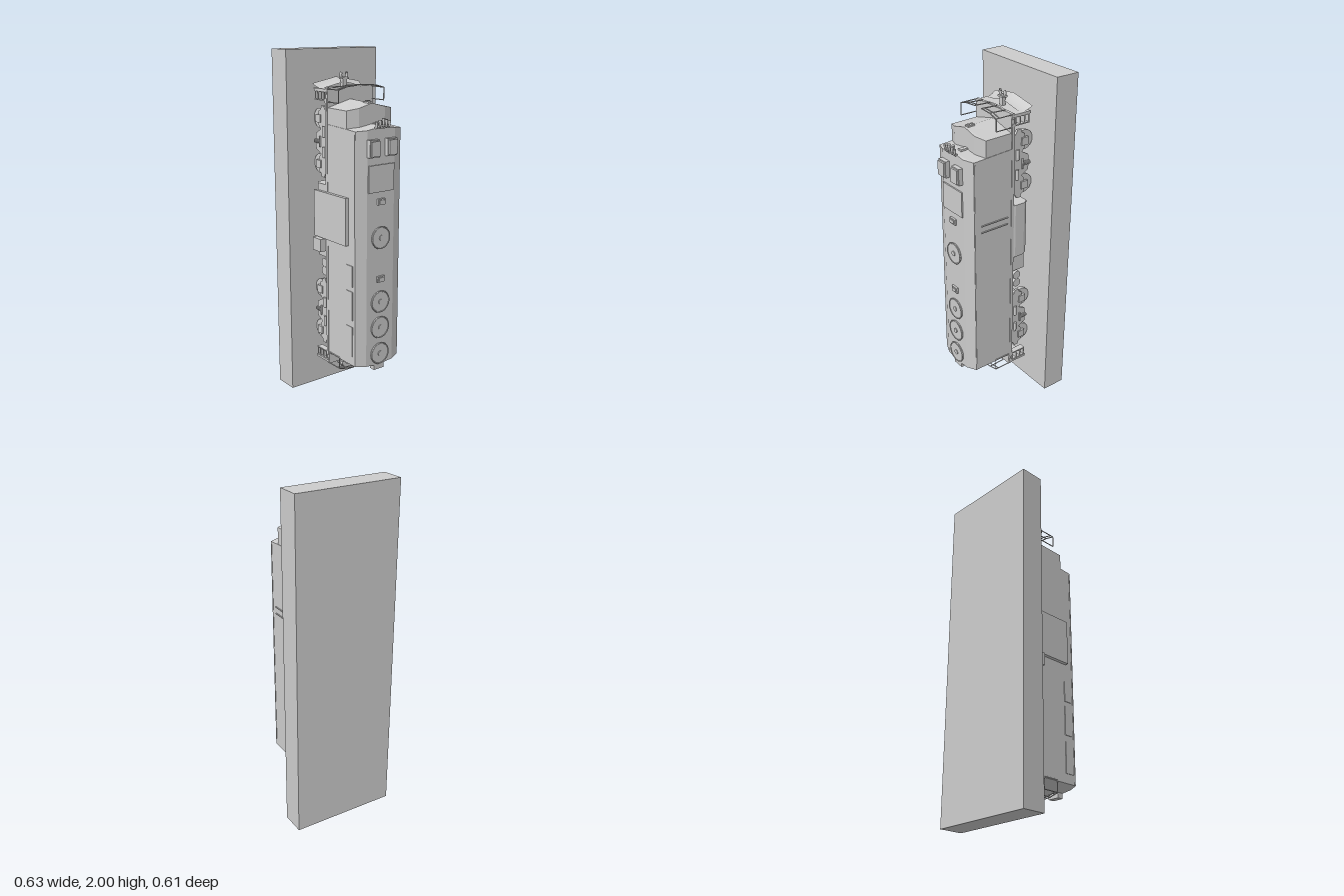
import * as THREE from 'three';

const mat = new THREE.MeshStandardMaterial({ color: 0xcccccc, flatShading: true });
const smooth = new THREE.MeshStandardMaterial({ color: 0xcccccc, side: THREE.DoubleSide });

function add(parent, name, geo, material = mat) {
  const m = new THREE.Mesh(geo, material);
  m.name = name;
  parent.add(m);
  return m;
}

// Box given by its limits on each axis
function box(parent, name, x0, x1, y0, y1, z0, z1) {
  const g = new THREE.BoxGeometry(x1 - x0, y1 - y0, z1 - z0);
  g.translate((x0 + x1) / 2, (y0 + y1) / 2, (z0 + z1) / 2);
  return add(parent, name, g);
}

// Cylinder along a chosen axis
function cyl(parent, name, r, len, axis, x, y, z, r2 = r, seg = 24) {
  const g = new THREE.CylinderGeometry(r2, r, len, seg);
  if (axis === 'x') g.rotateZ(-Math.PI / 2);
  if (axis === 'z') g.rotateX(Math.PI / 2);
  return add(parent, name, g.translate(x, y, z));
}

function bar(parent, name, pts, r = 0.003) {
  for (let i = 1; i < pts.length; i++) {
    const path = new THREE.LineCurve3(new THREE.Vector3(...pts[i - 1]), new THREE.Vector3(...pts[i]));
    add(parent, name, new THREE.TubeGeometry(path, 1, r, 6), smooth);
  }
}

// Hull section [x, z] run from y0 to y1, split on the centre line so both ends can be peaked;
// slope pulls the top end back with height above zRef
function hull(parent, name, half, y0, y1, peak0, peak1, zRef = 9, slope = 0) {
  for (const s of [1, -1]) {
    const shape = new THREE.Shape(half.map(([x, z]) => new THREE.Vector2(s * x, -z)));
    const g = new THREE.ExtrudeGeometry(shape, { depth: 1, bevelEnabled: false });
    g.rotateX(-Math.PI / 2);
    const p = g.attributes.position;
    for (let i = 0; i < p.count; i++) {
      const k = 1 - Math.abs(p.getX(i)) / 0.157;
      const top = p.getY(i) > 0.5;
      const back = slope * Math.max(0, p.getZ(i) - zRef);
      p.setY(i, top ? y1 + peak1 * k - back : y0 - peak0 * k);
    }
    g.computeVertexNormals();
    add(parent, name, g);
  }
}

// Side-frame outline [z, y] extruded across x
function sidePlate(parent, name, pts, x, t) {
  const shape = new THREE.Shape(pts.map(([z, y]) => new THREE.Vector2(-z, y)));
  const g = new THREE.ExtrudeGeometry(shape, { depth: t, bevelEnabled: false });
  g.rotateY(Math.PI / 2).translate(x - t / 2, 0, 0);
  add(parent, name, g);
}

// Two-axle truck centred on y = 0
function makeTruck() {
  const g = new THREE.Group();
  g.name = 'truck';
  const right = [[-0.03, 0], [-0.03, 0.06], [-0.025, 0.1], [-0.025, 0.165], [-0.04, 0.18], [-0.05, 0.2],
    [-0.075, 0.2], [-0.08, 0.18], [-0.1, 0.17], [-0.1, 0.09], [-0.08, 0.07], [-0.125, 0.045], [-0.13, 0]];
  const outline = [...right, ...right.slice(1, -1).reverse().map(([z, y]) => [z, -y])];
  for (const s of [-1, 1]) {
    sidePlate(g, 'truckSideFrame', outline, s * 0.14, 0.014);
    for (const y of [-0.128, 0.128]) {
      cyl(g, 'wheel', 0.056, 0.022, 'x', s * 0.121, y, -0.107);
      box(g, 'journalBox', s * 0.147 - 0.008, s * 0.147 + 0.008, y - 0.022, y + 0.022, -0.12, -0.075);
      cyl(g, 'brakeCylinder', 0.01, 0.06, 'y', s * 0.148, y * 0.45, -0.05, 0.01, 12);
    }
    for (let i = -2; i <= 2; i++)
      cyl(g, 'spring', 0.012, 0.005, 'z', s * 0.147, 0, -0.11 + i * 0.01, 0.012, 12);
    box(g, 'springPlank', s * 0.147 - 0.01, s * 0.147 + 0.01, -0.03, 0.03, -0.086, -0.08);
  }
  for (const y of [-0.128, 0.128]) cyl(g, 'axle', 0.013, 0.24, 'x', 0, y, -0.107);
  box(g, 'truckBolster', -0.13, 0.13, -0.05, 0.05, -0.1, -0.02);
  return g;
}

// End platform, measured from the middle of the vehicle
function makeEnd(withPlow) {
  const g = new THREE.Group();
  g.name = withPlow ? 'frontPlatform' : 'rearPlatform';
  box(g, 'endDeck', -0.157, 0.157, 0.7, 0.81, -0.018, 0);
  box(g, 'pilotPlate', -0.16, 0.16, 0.79, 0.803, -0.125, 0);
  // Corner steps
  for (const s of [-1, 1]) {
    for (const y of [0.738, 0.786]) box(g, 'stepSide', s * 0.14 - 0.018, s * 0.14 + 0.018, y, y + 0.006, -0.12, 0);
    for (const z of [-0.118, -0.09, -0.06, -0.03])
      box(g, 'stepTread', s * 0.14 - 0.018, s * 0.14 + 0.018, 0.738, 0.792, z, z + 0.005);
    // Corner handrails
    bar(g, 'cornerHandrail', [[s * 0.157, 0.735, 0], [s * 0.157, 0.735, 0.1], [s * 0.157, 0.805, 0.1], [s * 0.157, 0.805, 0]]);
    bar(g, 'endHandrail', [[s * 0.157, 0.805, 0.1], [s * 0.1, 0.82, 0.1], [s * 0.03, 0.825, 0.1], [s * 0.03, 0.82, 0]]);
    bar(g, 'endHandrail', [[s * 0.1, 0.815, 0], [s * 0.1, 0.82, 0.1]]);
    bar(g, 'endHandrail', [[s * 0.157, 0.805, 0.08], [s * 0.1, 0.82, 0.08], [s * 0.03, 0.825, 0.08]]);
  }
  // Bowed anticlimber
  const arc = new THREE.Shape();
  arc.moveTo(-0.165, 0.785);
  arc.quadraticCurveTo(0, 0.85, 0.165, 0.785);
  arc.lineTo(0.16, 0.775);
  arc.lineTo(-0.16, 0.775);
  add(g, 'anticlimber', new THREE.ExtrudeGeometry(arc, { depth: 0.014, bevelEnabled: false, curveSegments: 16 }).translate(0, 0, -0.018));
  // Coupler with an open jaw
  box(g, 'couplerShank', -0.013, 0.013, 0.79, 0.86, -0.072, -0.05);
  add(g, 'couplerJaw', new THREE.TorusGeometry(0.021, 0.008, 8, 16, Math.PI * 1.4)
    .rotateZ(Math.PI * 0.8).translate(0, 0.872, -0.061), smooth);
  box(g, 'couplerHead', -0.022, 0.022, 0.848, 0.858, -0.077, -0.045);
  if (withPlow) {
    // Curved blade, swept forward at the bottom edge
    const blade = new THREE.PlaneGeometry(1, 1, 16, 6);
    const p = blade.attributes.position;
    for (let i = 0; i < p.count; i++) {
      const u = p.getX(i) * 2, v = 0.5 - p.getY(i);
      p.setXYZ(i, u * (0.15 + 0.012 * v), 0.802 + 0.03 * (1 - Math.abs(u)) + 0.025 * v * v, -0.062 - 0.073 * v);
    }
    blade.computeVertexNormals();
    add(g, 'plow', blade, smooth);
  }
  return g;
}

export function createModel() {
  const root = new THREE.Group();
  root.name = 'uprightLocomotiveDisplay';
  box(root, 'backSlab', -0.315, 0.315, 0, 2, -0.305, -0.163);

  // Body shell, nose and sill
  hull(root, 'bodyShell', [[0, -0.01], [0.157, -0.01], [0.157, 0.245], [0.095, 0.27], [0, 0.27]], 0.245, 1.6, 0.018, 0.025, 0.19, 0.25);
  hull(root, 'nose', [[0, -0.01], [0.155, -0.01], [0.155, 0.165], [0.09, 0.19], [0, 0.19]], 1.5, 1.69, 0, 0.04, 0.15, 0.2);
  box(root, 'sill', -0.16, 0.16, 0.23, 1.74, -0.022, -0.004);
  box(root, 'centerSill', -0.06, 0.06, 0.23, 1.75, -0.06, -0.02);
  for (const s of [-1, 1]) box(root, 'roofEdgeRib', s * 0.157 - 0.002, s * 0.157 + 0.002, 0.25, 1.57, 0.235, 0.242);

  // Lamps on nose and rear
  box(root, 'noseLamp', -0.014, 0.014, 1.68, 1.728, 0.13, 0.176);
  for (const z of [0.142, 0.164]) cyl(root, 'noseLampLens', 0.007, 0.008, 'y', 0, 1.73, z, 0.007, 12);
  box(root, 'noseDoor', 0.005, 0.03, 1.58, 1.615, 0.19, 0.235);
  box(root, 'rearLamp', -0.035, 0.035, 0.2, 0.25, 0.23, 0.268);

  // Roof fans
  for (const y of [0.3, 0.46, 0.615, 0.99]) {
    cyl(root, 'roofFan', 0.063, 0.012, 'z', 0, y, 0.273, 0.06, 32);
    add(root, 'fanRim', new THREE.TorusGeometry(0.061, 0.004, 6, 32).translate(0, y, 0.278), smooth);
    cyl(root, 'fanHub', 0.015, 0.005, 'z', 0, y, 0.281, 0.015, 16);
  }
  // Exhausts, hatch and cooling units
  for (const y of [0.75, 1.195]) {
    box(root, 'exhaustStack', -0.025, 0.025, y - 0.017, y + 0.017, 0.265, 0.282);
    box(root, 'exhaustCap', -0.018, 0.018, y - 0.01, y + 0.01, 0.28, 0.287);
  }
  box(root, 'roofHatch', -0.088, 0.088, 1.25, 1.4, 0.265, 0.278);
  for (const x of [-0.063, 0.059]) {
    box(root, 'coolingUnit', x - 0.033, x + 0.033, 1.445, 1.54, 0.265, 0.295);
    box(root, 'coolingUnitTop', x - 0.028, x + 0.028, 1.452, 1.533, 0.29, 0.305);
  }
  // Horn cluster
  box(root, 'hornBracket', -0.045, 0.045, 1.595, 1.605, 0.268, 0.282);
  for (let i = -2; i <= 2; i++) {
    const z = 0.288 - Math.abs(i) * 0.002;
    const len = 0.05 - Math.abs(i) * 0.008;
    cyl(root, 'horn', 0.004, len, 'y', i * 0.022, 1.6 + len / 2, z, 0.009, 12);
  }
  cyl(root, 'beacon', 0.01, 0.025, 'y', 0, 1.625, 0.262, 0.01, 12);

  // Raised side panel and equipment on the right
  box(root, 'sidePanel', -0.178, -0.155, 0.95, 1.22, -0.11, 0.185);
  box(root, 'sideEquipmentBox', -0.197, -0.15, 0.87, 0.945, -0.1, -0.025);
  for (const [y0, y1] of [[0.3, 0.48], [0.52, 0.69], [0.72, 0.84]])
    box(root, 'sideLouver', -0.161, -0.155, y0, y1, 0.17, 0.225);
  // Thin fittings on the left
  box(root, 'sideConduit', 0.155, 0.163, 1.2, 1.206, 0.02, 0.2);
  box(root, 'sideConduit', 0.155, 0.163, 1.16, 1.166, 0.02, 0.2);

  // Fuel tank, battery box and air reservoirs
  hull(root, 'fuelTank', [[0, -0.02], [0.155, -0.02], [0.16, -0.035], [0.16, -0.095], [0.14, -0.125], [0, -0.125]], 0.93, 1.26, 0, 0);
  box(root, 'batteryBox', -0.14, 0.14, 0.825, 0.915, -0.115, -0.02);
  for (const y of [0.735, 0.787]) {
    cyl(root, 'airReservoir', 0.026, 0.28, 'x', 0, y, -0.066);
    box(root, 'reservoirHanger', -0.08, 0.08, y - 0.006, y + 0.006, -0.06, -0.02);
  }

  // Trucks
  for (const y of [0.49, 1.495]) {
    const t = makeTruck();
    t.position.y = y;
    root.add(t);
  }
  // End platforms
  const front = makeEnd(true), rear = makeEnd(false);
  front.position.y = rear.position.y = 0.987;
  rear.rotation.z = Math.PI;
  root.add(front, rear);
  return root;
}
